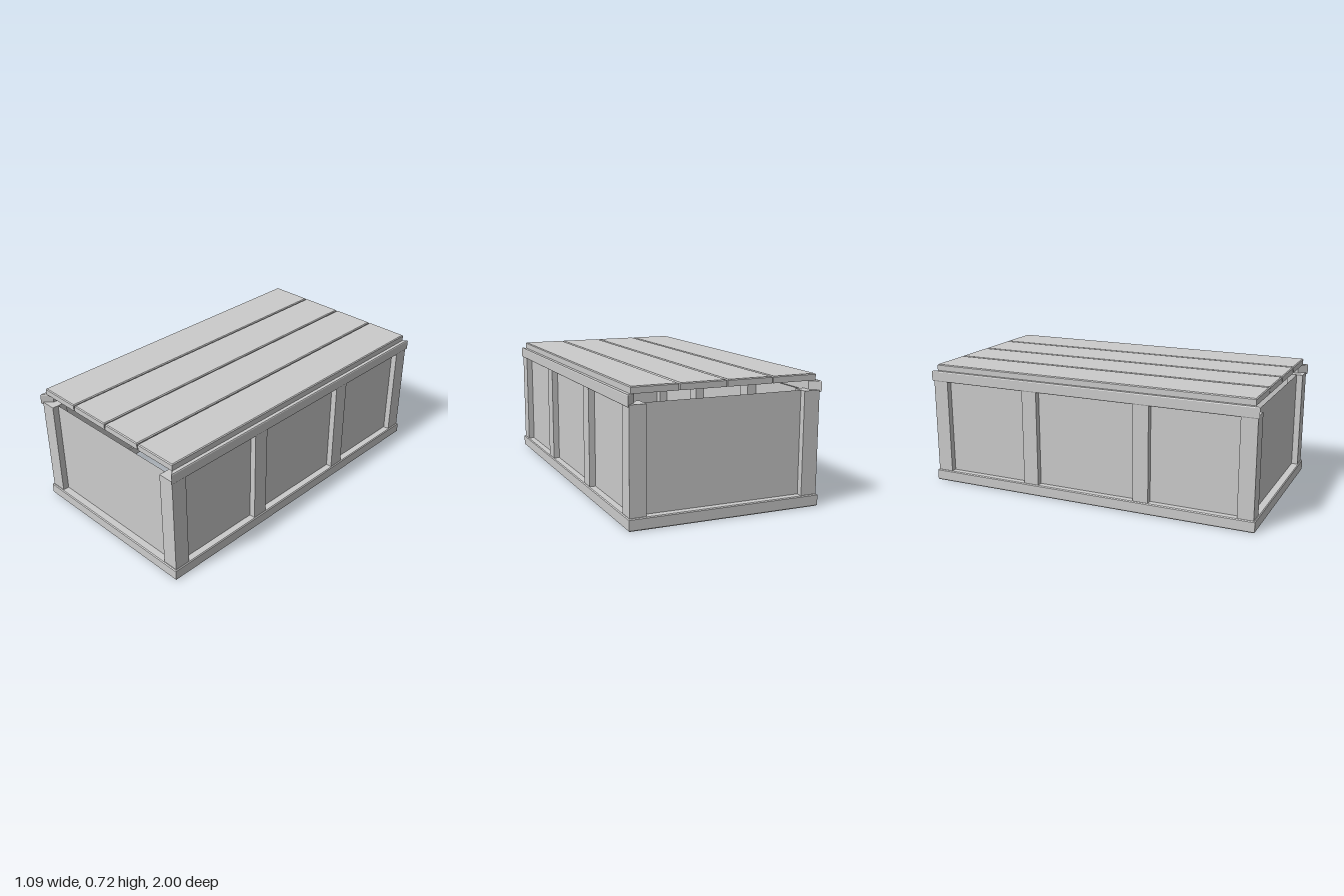
import * as THREE from 'three';

const W = 0.547, L = 1;        // half width and half length of the outer rails
const RAIL = 0.05;             // rail thickness in plan
const BASE = 0.066;            // top of the base frame
const WALL = 0.635;            // top of posts and panels
const BEVEL = 0.005;

const solid = new THREE.MeshStandardMaterial({ color: 0xcccccc });
const thin = new THREE.MeshStandardMaterial({ color: 0xcccccc, side: THREE.DoubleSide });

// Closed outline from plan corners [x, z]
const outline = (Type, pts) => new Type(pts.map(([x, z]) => new THREE.Vector2(x, -z)));
const rect = (x0, x1, z0, z1) => [[x0, z1], [x1, z1], [x1, z0], [x0, z0]];

// Plan outline raised from y0 to y1 with small bevelled edges
function slab(shape, y0, y1) {
  const geo = new THREE.ExtrudeGeometry(shape, {
    depth: y1 - y0 - 2 * BEVEL, bevelThickness: BEVEL, bevelSize: BEVEL,
    bevelOffset: -BEVEL, bevelSegments: 1,
  });
  geo.rotateX(-Math.PI / 2);
  geo.translate(0, y0 + BEVEL, 0);
  return geo;
}

// Drops every downward facing triangle, leaving a hollow shell
function openBelow(source) {
  const pos = (source.index ? source.toNonIndexed() : source).getAttribute('position');
  const tri = new THREE.Triangle(), n = new THREE.Vector3(), kept = [];
  for (let i = 0; i < pos.count; i += 3) {
    tri.setFromAttributeAndIndices(pos, i, i + 1, i + 2);
    if (tri.getNormal(n).y > -0.3) kept.push(tri.a.clone(), tri.b.clone(), tri.c.clone());
  }
  const geo = new THREE.BufferGeometry().setFromPoints(kept);
  geo.computeVertexNormals();
  return geo;
}

export function createModel() {
  const crate = new THREE.Group();
  crate.name = 'crate';
  const add = (name, geo, mat = solid) => {
    const mesh = new THREE.Mesh(geo, mat);
    mesh.name = name;
    crate.add(mesh);
    return mesh;
  };

  // Open base frame
  const frame = outline(THREE.Shape, rect(-W, W, -L, L));
  frame.holes.push(outline(THREE.Path, rect(-W + RAIL, W - RAIL, -L + RAIL, L - RAIL)));
  add('baseFrame', slab(frame, 0, BASE));

  // Long top rails with mitred ends
  for (const [side, s] of [['left', 1], ['right', -1]]) {
    const i = s * (W - RAIL), o = s * W;
    const plan = [[i, L - RAIL], [o, L], [o, -L], [i, -L + RAIL]];
    add(side + 'TopRail', slab(outline(THREE.Shape, plan), 0.623, 0.685));
  }

  // Hollow posts: four at the corners, two more along each side
  const h = WALL - BASE;
  const post = openBelow(new THREE.BoxGeometry(0.092, h, 0.092));
  for (const s of [1, -1])
    for (const z of [0.945, 0.345, -0.345, -0.945])
      add(Math.abs(z) > 0.9 ? 'cornerPost' : 'sidePost', post, thin)
        .position.set(s * 0.494, BASE + h / 2, z);

  // Thin wall panels set back between the post faces
  const px = 0.505, pz = 0.955;
  for (const s of [1, -1]) {
    const end = add(s > 0 ? 'frontPanel' : 'backPanel', new THREE.PlaneGeometry(2 * px, h), thin);
    end.position.set(0, BASE + h / 2, s * pz);
    if (s < 0) end.rotation.y = Math.PI;
    const side = add(s > 0 ? 'leftPanel' : 'rightPanel', new THREE.PlaneGeometry(2 * pz, h), thin);
    side.position.set(s * px, BASE + h / 2, 0);
    side.rotation.y = s * Math.PI / 2;
  }

  // Lid of four hollow planks with narrow gaps
  const pitch = 0.264, gap = 0.007;
  const half = (pitch - gap) / 2;
  const plank = openBelow(slab(outline(THREE.Shape, rect(-half, half, -0.973, 0.973)), 0.68, 0.722));
  for (let i = 0; i < 4; i++) add('lidPlank', plank, thin).position.x = (i - 1.5) * pitch;

  return crate;
}
